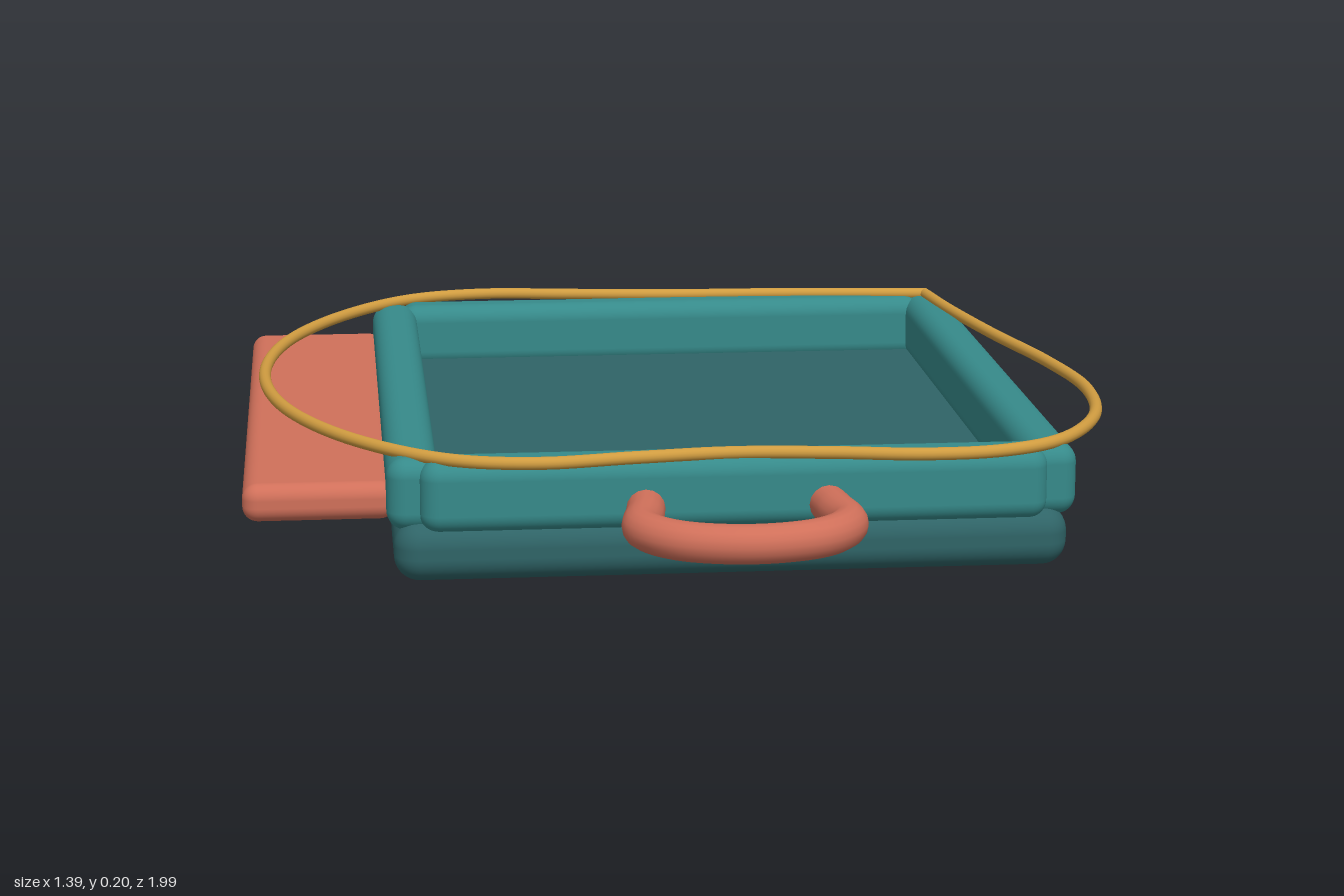
import * as THREE from 'three';
import { RoundedBoxGeometry } from 'three/addons/geometries/RoundedBoxGeometry.js';

const paint = (color) => new THREE.MeshStandardMaterial({ color });

export function createModel() {
  const model = new THREE.Group();
  const darkTeal = paint(0x2f6467);
  const teal = paint(0x368a8a);
  const coral = paint(0xd0705a);
  const gold = paint(0xd09c40);

  const add = (name, geometry, material) => {
    const mesh = new THREE.Mesh(geometry, material);
    mesh.name = name;
    model.add(mesh);
    return mesh;
  };

  // Rounded block given by its limits on each axis
  const block = (name, [x0, x1], [y0, y1], [z0, z1], radius, material) => {
    const geometry = new RoundedBoxGeometry(x1 - x0, y1 - y0, z1 - z0, 5, radius);
    geometry.translate((x0 + x1) / 2, (y0 + y1) / 2, (z0 + z1) / 2);
    return add(name, geometry, material);
  };

  // Smooth tube through [x, z] points at one height
  const tube = (name, points, y, radius, segments, material) => {
    const curve = new THREE.CatmullRomCurve3(
      points.map(([x, z]) => new THREE.Vector3(x, y, z)), false, 'centripetal');
    return add(name, new THREE.TubeGeometry(curve, segments, radius, 16), material);
  };

  // Tray floor and its four walls
  block('trayBase', [-0.47, 0.575], [0, 0.095], [-0.49, 0.745], 0.04, darkTeal);
  const wallY = [0.078, 0.192];
  block('leftWall', [0.51, 0.59], wallY, [-0.475, 0.725], 0.03, teal);
  block('rightWall', [-0.48, -0.4], wallY, [-0.475, 0.725], 0.03, teal);
  block('frontWall', [-0.43, 0.54], wallY, [0.66, 0.748], 0.03, teal);
  block('backWall', [-0.43, 0.54], wallY, [-0.5, -0.42], 0.03, teal);

  // Side shelf
  block('sideShelf', [-0.7, -0.465], [0.086, 0.146], [-0.44, 0.68], 0.024, coral);

  // Front handle
  tube('frontHandle', [
    [-0.08, 0.7], [-0.09, 0.78], [-0.1, 0.87], [-0.05, 0.935], [0.055, 0.963],
    [0.16, 0.935], [0.208, 0.87], [0.2, 0.78], [0.19, 0.7],
  ], 0.115, 0.03, 64, coral);

  // Pair of back loops
  const loop = [
    [-0.165, -0.44], [-0.163, -0.56], [-0.17, -0.72], [-0.165, -0.88], [-0.185, -0.945],
    [-0.225, -0.965], [-0.265, -0.945], [-0.285, -0.88], [-0.3, -0.75], [-0.308, -0.62], [-0.303, -0.44],
  ];
  [['rightBackLoop', 0], ['leftBackLoop', 0.442]].forEach(([name, shift]) =>
    tube(name, loop.map(([x, z]) => [x + shift, z]), 0.036, 0.036, 90, teal));

  // Thin wavy cord lying on the rim, with one sharp corner at the back
  tube('rimCord', [
    [0.55, -0.45], [0.57, -0.3], [0.61, -0.08], [0.66, 0.15], [0.682, 0.35], [0.65, 0.55],
    [0.56, 0.7], [0.46, 0.755], [0.34, 0.765], [0.2, 0.742], [0.05, 0.728], [-0.1, 0.745],
    [-0.25, 0.767], [-0.38, 0.735], [-0.52, 0.6], [-0.63, 0.38], [-0.67, 0.12], [-0.63, -0.15],
    [-0.52, -0.37], [-0.4, -0.49], [-0.27, -0.525], [-0.12, -0.508], [0.05, -0.487],
    [0.3, -0.475], [0.55, -0.45],
  ], 0.195, 0.01, 220, gold);

  // Round the cord's corner joint
  const joint = new THREE.SphereGeometry(0.01, 12, 8);
  joint.translate(0.55, 0.195, -0.45);
  add('cordCorner', joint, gold);

  return model;
}
